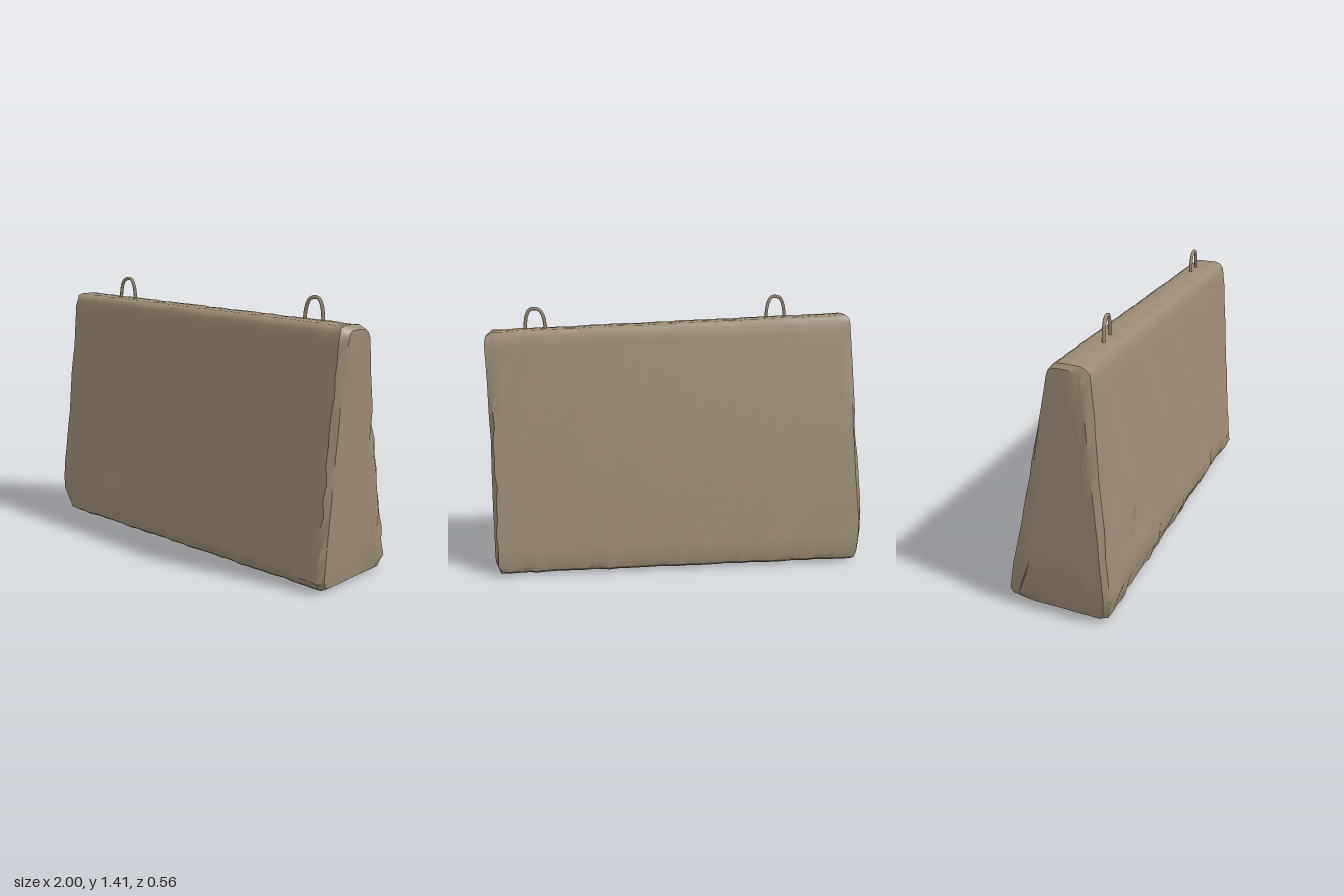
import * as THREE from 'three';
import { toCreasedNormals } from 'three/addons/utils/BufferGeometryUtils.js';

const concrete = new THREE.MeshStandardMaterial({ color: 0x9c8b74 });
concrete.name = 'weathered concrete';

const { lerp, smoothstep } = THREE.MathUtils;

// Smooth repeatable unevenness, about -1..1
const rough = (a, b) =>
  (Math.sin(a * 7.3 + b * 3.1) + Math.sin(a * 17.9 - b * 11.7 + 1.3) + Math.sin(a * 41 + b * 23 + 4)) / 3;

// Piecewise linear lookup in [key, value] pairs
function lookup(table, k) {
  for (let i = 1; i < table.length; i++) {
    const [k0, v0] = table[i - 1], [k1, v1] = table[i];
    if (k <= k1) return lerp(v0, v1, Math.max(0, (k - k0) / (k1 - k0)));
  }
  return table[table.length - 1][1];
}
const leftOutline = [[0, -0.94], [0.1, -0.985], [0.2, -1], [0.6, -0.978], [1.32, -0.945]];
const rightOutline = [[0, 0.96], [0.08, 0.975], [0.6, 0.98], [1, 0.99], [1.2, 1], [1.26, 0.985]];

// Cross-section [z, y] at u (0..1 along the length): underside, front, top, back
function section(u) {
  const h = lerp(1.322, 1.25, u);
  const chamfer = lerp(0.16, 0.07, u) + 0.015 * rough(u * 3, 1);
  const pts = [[-0.19, 0.012], [-0.06, 0.014], [0.08, 0.012], [0.22, 0.012], [0.25, 0.03]];
  const steps = 14;
  for (let i = 0; i <= steps; i++) {
    const t = i / steps;
    pts.push([lerp(0.279, 0.184, t), lerp(chamfer, h - 0.07, t)]);
  }
  pts.push([0.178, h - 0.035], [0.163, h - 0.012], [0.135, h - 0.002], [0.07, h],
    [0.02, h - 0.003], [0, h - 0.015], [-0.012, h - 0.04]);
  for (let i = 0; i <= steps; i++) {
    const t = i / steps;
    pts.push([lerp(-0.022, -0.268, t), lerp(h - 0.085, 0.07, t)]);
  }
  pts.push([-0.262, 0.035], [-0.235, 0.018]);
  return pts;
}

function blockGeometry() {
  // Rings along the length: [u, z scale, y scale, inner scale]
  const rings = [];
  const cap = [0, 0.35, 0.7, 1];
  for (const s of cap) rings.push([0, 0.86, 0.97, s]);
  const n = 40;
  for (let i = 0; i <= n; i++) rings.push([lerp(0.013, 0.987, i / n), 1, 1, 1]);
  for (const s of [...cap].reverse()) rings.push([1, 0.86, 0.97, s]);

  const pos = [], index = [];
  const m = section(0).length;
  rings.forEach(([u, sz, sy, s], r) => {
    const edge = r === cap.length || r === rings.length - cap.length - 1;
    section(u).forEach(([z0, y0]) => {
      let z = 0.04 + (z0 - 0.04) * sz * s;
      let y = 0.6 + (y0 - 0.6) * sy * s;
      // Shift the inner end rings so they follow the tapered faces
      if (sz < 1) z += (0.6 - y) * 0.02;
      let x = lerp(lookup(leftOutline, y), lookup(rightOutline, y), u);

      // General unevenness, stronger along the broken bottom and end edges
      const low = 1 - smoothstep(y, 0.05, 0.3);
      const amp = 0.003 + 0.007 * low;
      if (s > 0) {
        z += amp * rough(x * 2, y * 2 + z);
        if (y < 1.15) y += 0.012 * low * smoothstep(y, 0.02, 0.1) * rough(x * 4, z * 5);
        else y += 0.003 * rough(x * 2, 3);
        if (edge) x += 0.012 * rough(y * 5, z * 4 + u);
      }
      // Shallow dent low on the front
      if (z0 > 0.15) z -= 0.018 * Math.exp(-((x + 0.55) ** 2 + (y - 0.36) ** 2) / 0.006);
      // Chips along the rear vertical edges
      if (z0 < -0.02 && s > 0.9) {
        if (sz < 1) z += (u > 0.5 ? 0.045 : 0.025) * Math.exp(-((y - 0.7) ** 2) / 0.006);
        if (sz < 1 && y < 0.3) z += 0.02;
      }
      pos.push(x, Math.max(y, 0.004), z);
    });
  });
  for (let r = 0; r < rings.length - 1; r++) {
    for (let j = 0; j < m; j++) {
      const k = (j + 1) % m;
      const a = r * m + j, b = r * m + k, c = b + m, d = a + m;
      index.push(a, d, c, a, c, b);
    }
  }
  const g = new THREE.BufferGeometry();
  g.setAttribute('position', new THREE.Float32BufferAttribute(pos, 3));
  g.setIndex(index);
  return toCreasedNormals(g, 0.68);
}

// Bent bar loop sunk into the top of the block
function liftingLoop(name, x, y, z, turn) {
  const path = new THREE.CatmullRomCurve3(
    [[-0.055, -0.04], [-0.053, 0], [-0.042, 0.065], [-0.022, 0.096], [0.022, 0.1], [0.042, 0.07], [0.053, 0], [0.055, -0.04]]
      .map(([px, py]) => new THREE.Vector3(px, py, 0)), false, 'centripetal');
  const loop = new THREE.Mesh(new THREE.TubeGeometry(path, 28, 0.009, 8), concrete);
  loop.name = name;
  loop.position.set(x, y, z);
  loop.rotation.y = turn;
  return loop;
}

export function createModel() {
  const model = new THREE.Group();
  model.name = 'concreteBarrier';

  const block = new THREE.Mesh(blockGeometry(), concrete);
  block.name = 'barrierBlock';
  model.add(block);

  model.add(liftingLoop('rightLiftingLoop', -0.557, 1.313, 0.095, 0.13));
  model.add(liftingLoop('leftLiftingLoop', 0.738, 1.262, 0.065, 0.03));
  return model;
}
